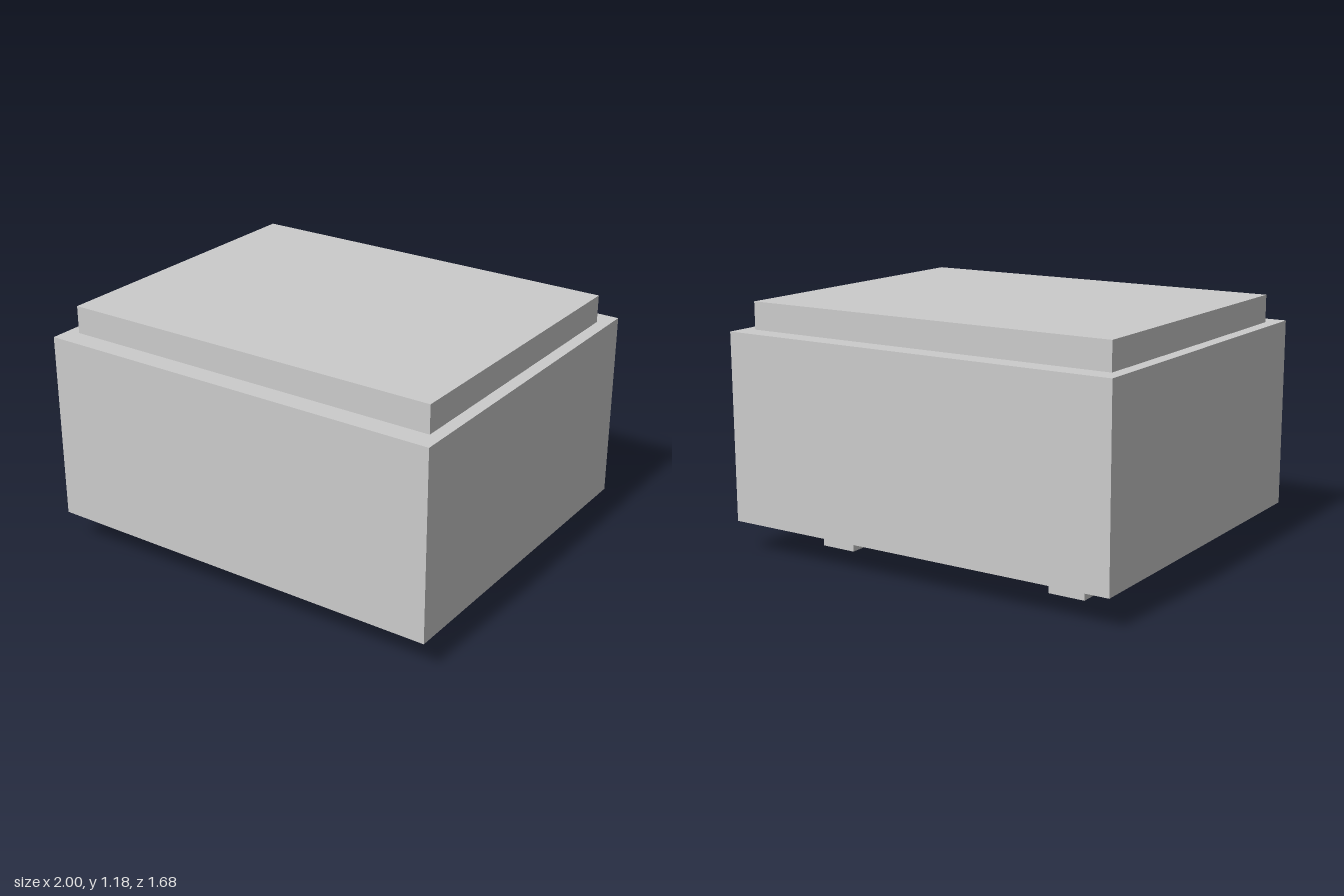
import * as THREE from 'three';

export function createModel() {
  const model = new THREE.Group();
  const material = new THREE.MeshStandardMaterial({ color: 0xcccccc });

  // Box resting on a given height
  function addBox(name, [width, height, depth], [x, bottom, z]) {
    const mesh = new THREE.Mesh(new THREE.BoxGeometry(width, height, depth), material);
    mesh.name = name;
    mesh.position.set(x, bottom + height / 2, z);
    model.add(mesh);
  }

  const legHeight = 0.147;
  const bodyHeight = 0.9;

  // Main block and the thinner, inset slab on top
  addBox('body', [2, bodyHeight, 1.676], [0, legHeight, 0]);
  addBox('topCushion', [1.88, 0.131, 1.472], [0, legHeight + bodyHeight, 0]);

  // Four square legs
  for (const [side, x] of [['Left', 0.63], ['Right', -0.63]]) {
    for (const [end, z] of [['front', 0.465], ['back', -0.465]]) {
      addBox(`${end}${side}Leg`, [0.18, legHeight, 0.18], [x, 0, z]);
    }
  }

  return model;
}
